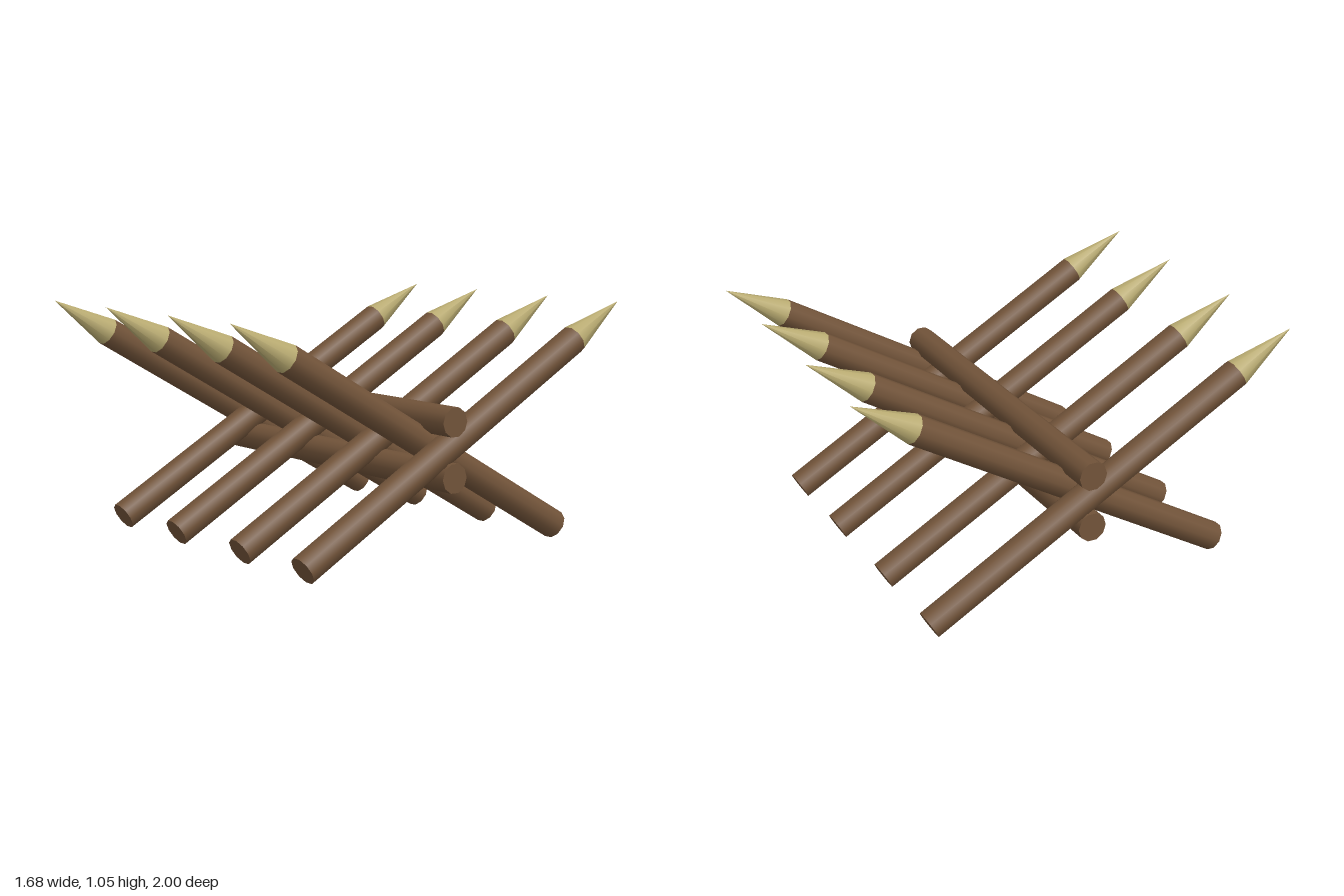
import * as THREE from 'three';

const RADIUS = 0.065, SIDES = 10, TILT = Math.PI / 3;
const SHAFT = 1.69, POINT = 0.31;

export function createModel() {
  const model = new THREE.Group();
  model.name = 'spikedBarricade';
  const bark = new THREE.MeshStandardMaterial({ color: 0x715339 });
  const cutWood = new THREE.MeshStandardMaterial({ color: 0xb8aa70 });

  // Shared log shapes, turned so a flat side faces up
  const shaftGeo = new THREE.CylinderGeometry(RADIUS, RADIUS, SHAFT, SIDES, 1, false, Math.PI / 2);
  const pointGeo = new THREE.ConeGeometry(RADIUS, POINT, SIDES, 1, true, Math.PI / 2);
  const railGeo = new THREE.CylinderGeometry(RADIUS, RADIUS, 1.68, SIDES);

  // A leaning log with a sharpened tip; dir is +1 to point forward, -1 back
  function addStake(name, x, dir) {
    const stake = new THREE.Group();
    stake.name = name;
    const shaft = new THREE.Mesh(shaftGeo, bark);
    shaft.name = 'stakeShaft';
    const point = new THREE.Mesh(pointGeo, cutWood);
    point.name = 'stakePoint';
    point.position.y = (SHAFT + POINT) / 2;
    stake.add(shaft, point);
    stake.position.set(x, 0.478, 0);
    stake.rotation.x = dir * TILT;
    model.add(stake);
  }
  [-0.775, -0.31, 0.2, 0.662].forEach((x, i) => addStake(`frontStake${i + 1}`, x, 1));
  [-0.655, -0.19, 0.315, 0.77].forEach((x, i) => addStake(`backStake${i + 1}`, x, -1));

  // Rails above and below the crossing
  for (const [name, y] of [['upperRail', 0.602], ['lowerRail', 0.364]]) {
    const rail = new THREE.Mesh(railGeo, bark);
    rail.name = name;
    rail.rotation.z = Math.PI / 2;
    rail.position.y = y;
    model.add(rail);
  }
  return model;
}
